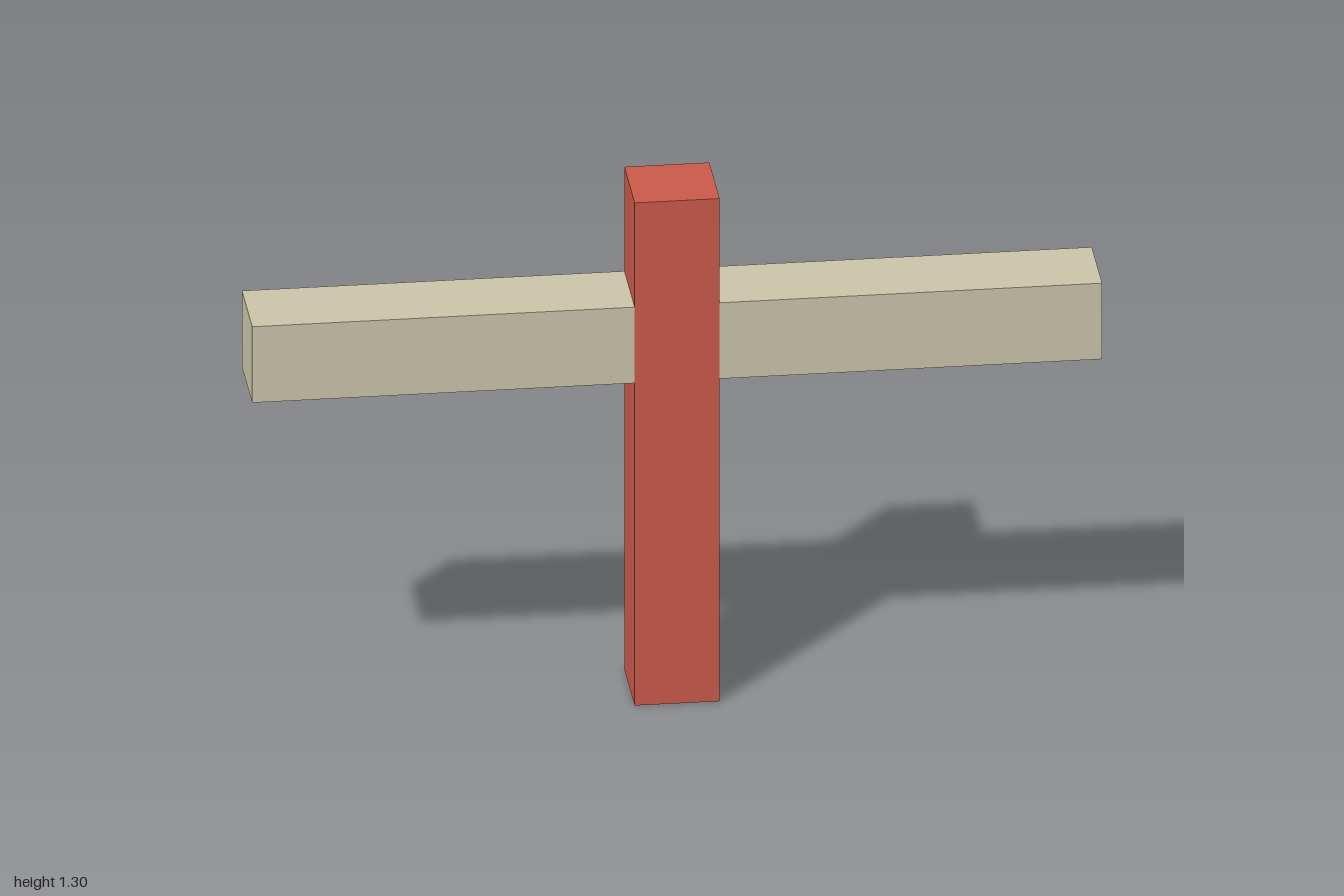
import * as THREE from 'three';

export function createModel() {
  const model = new THREE.Group();
  model.name = 'crossedBeams';

  const red = new THREE.MeshStandardMaterial({ color: 0xc9594a });
  red.name = 'red';
  const beige = new THREE.MeshStandardMaterial({ color: 0xcac3a9 });
  beige.name = 'beige';

  const thickness = 0.2;
  const postHeight = 1.297;
  const armBottom = 0.832;
  const armTop = 1.028;

  function addBox(name, material, size, position) {
    const mesh = new THREE.Mesh(new THREE.BoxGeometry(...size), material);
    mesh.name = name;
    mesh.position.set(...position);
    model.add(mesh);
  }

  // Upright post
  addBox('post', red, [thickness, postHeight, thickness], [0, postHeight / 2, 0]);

  // Crossbar arms, flush with the post's front and back
  const armLength = 1 - thickness / 2;
  for (const [name, side] of [['leftArm', 1], ['rightArm', -1]]) {
    addBox(name, beige, [armLength, armTop - armBottom, thickness],
      [side * (thickness / 2 + armLength / 2), (armTop + armBottom) / 2, 0]);
  }

  return model;
}
